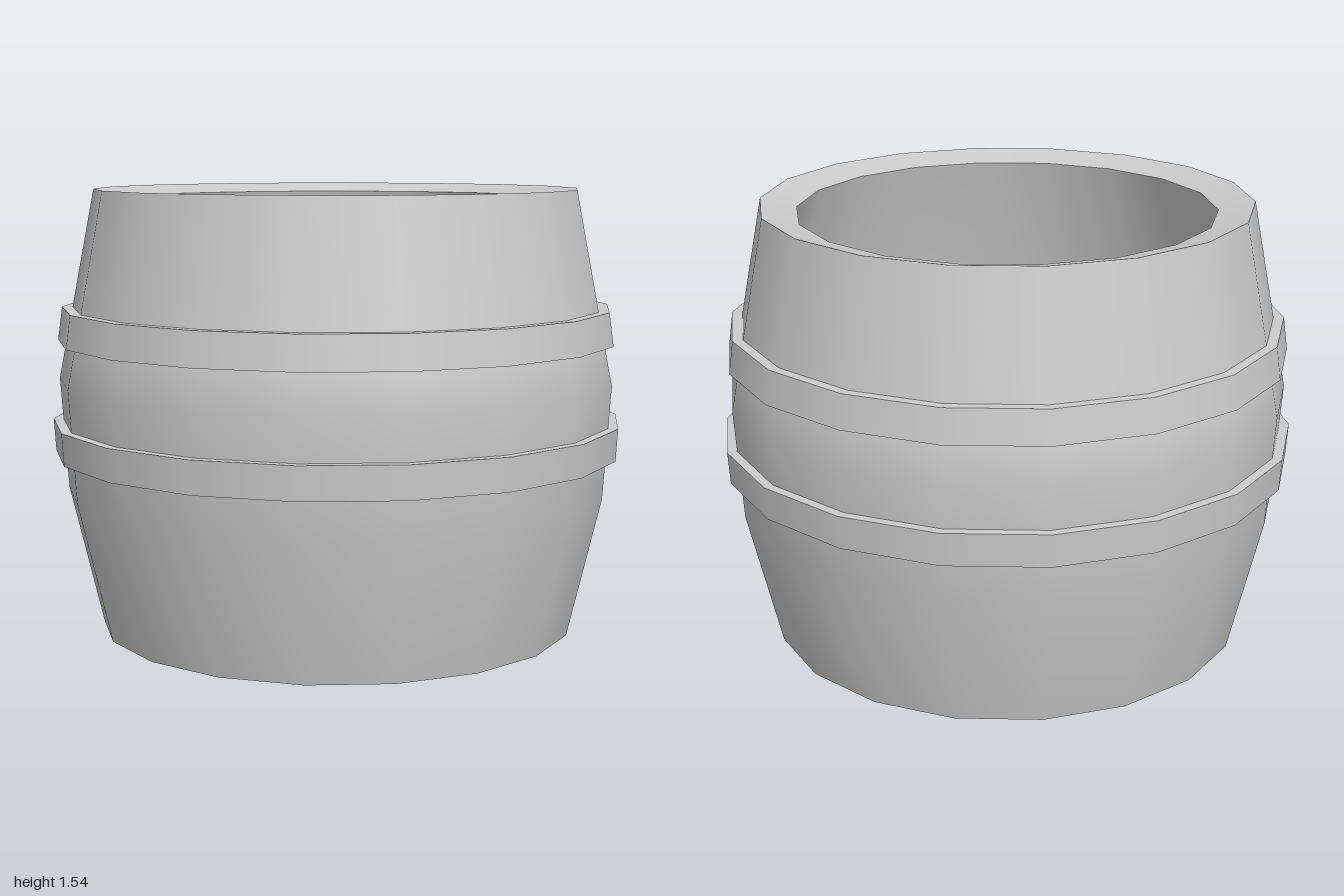
import * as THREE from 'three';
import { mergeGeometries } from 'three/addons/utils/BufferGeometryUtils.js';

const SIDES = 18;

// Lathe each profile run separately so runs are smooth inside and sharp where they meet.
function turned(name, runs, material) {
  const parts = runs.map((run) => {
    const points = run.map(([r, y]) => new THREE.Vector2(r, y));
    const part = new THREE.LatheGeometry(points, SIDES, Math.PI / 2);
    part.normalizeNormals();
    return part;
  });
  const mesh = new THREE.Mesh(mergeGeometries(parts), material);
  mesh.name = name;
  return mesh;
}

// Straight-sided band: its closed section has four sharp corners.
function hoop(name, y0, y1, inner, outer0, outer1, material) {
  const c = [[inner, y0], [outer0, y0], [outer1, y1], [inner, y1]];
  return turned(name, c.map((p, i) => [p, c[(i + 1) % 4]]), material);
}

export function createModel() {
  const group = new THREE.Group();
  group.name = 'barrel';
  const grey = new THREE.MeshStandardMaterial({ color: 0xcccccc, side: THREE.DoubleSide });

  // Bulging outer staves, open at the foot
  group.add(turned('staves', [
    [[0.835, 0], [0.95, 0.49], [0.975, 0.88], [0.947, 1.02], [0.845, 1.54]],
  ], grey));

  // Rim sloping slightly inward to the mouth
  group.add(turned('rim', [[[0.845, 1.54], [0.72, 1.51]]], grey));

  // Inner vessel hanging from the rim: walls follow the belly down to a flat floor
  group.add(turned('innerVessel', [
    [[0.72, 1.51], [0.84, 1.06], [0.865, 0.88], [0.85, 0.52], [0.753, 0.09]],
    [[0.753, 0.09], [0, 0.09]],
  ], grey));

  // Two hoops around the belly
  group.add(hoop('upperHoop', 1.015, 1.13, 0.915, 0.978, 0.962, grey));
  group.add(hoop('lowerHoop', 0.622, 0.735, 0.95, 0.993, 1, grey));

  return group;
}
